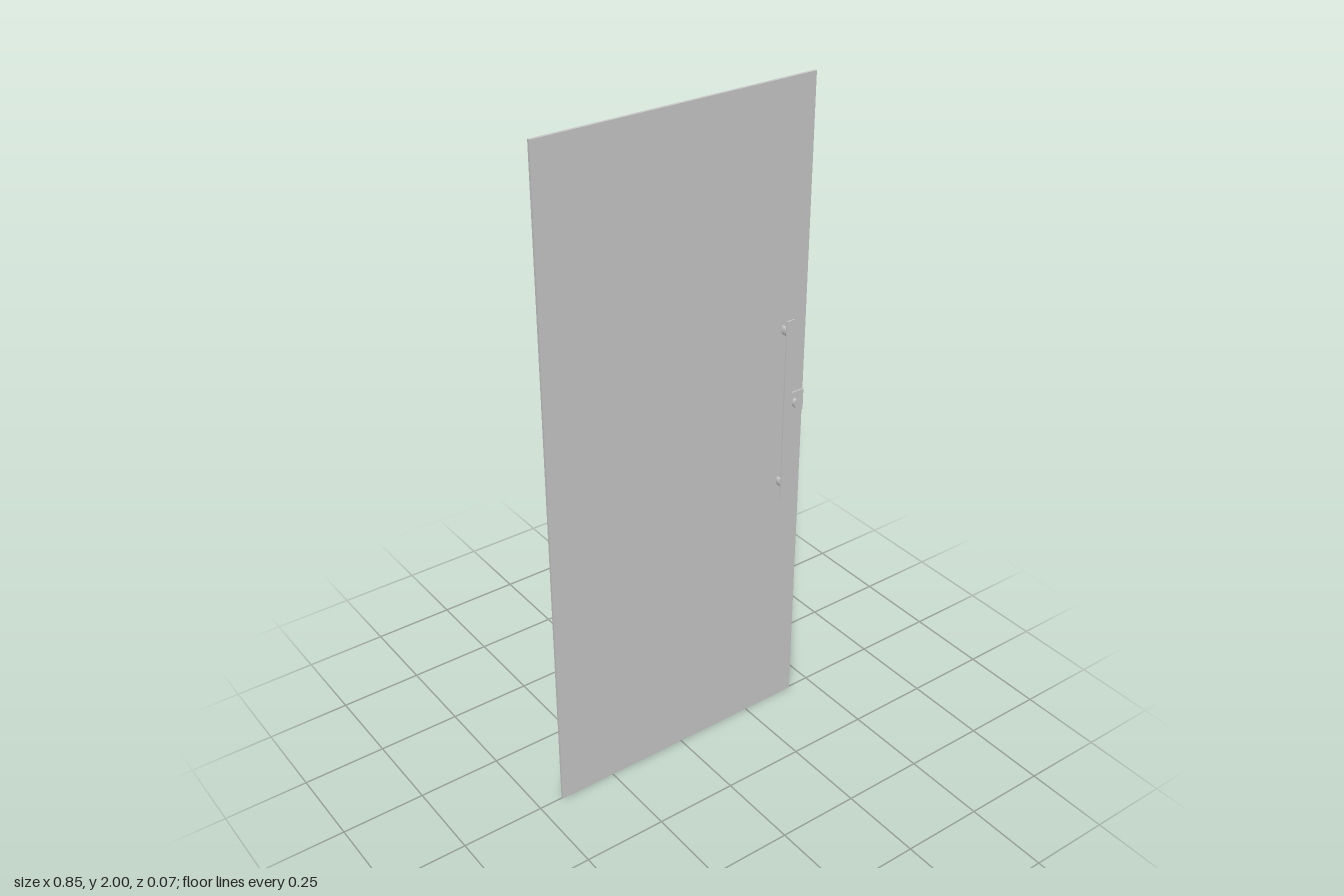
import * as THREE from 'three';

const material = new THREE.MeshStandardMaterial({ color: 0xcccccc });

function add(parent, name, geometry, x, y, z) {
  const mesh = new THREE.Mesh(geometry, material);
  mesh.name = name;
  mesh.position.set(x, y, z);
  parent.add(mesh);
  return mesh;
}

// Oval rod running along z
function ovalRod(width, height, length) {
  return new THREE.CylinderGeometry(0.5, 0.5, length, 32)
    .rotateX(Math.PI / 2)
    .scale(width, height, 1);
}

export function createModel() {
  const door = new THREE.Group();
  door.name = 'door';

  // Thin door leaf
  add(door, 'doorPanel', new THREE.BoxGeometry(0.852, 2, 0.008), 0, 1, 0);

  // Flat pull bars on both faces, joined by posts through the leaf
  const handle = new THREE.Group();
  handle.name = 'pullHandle';
  handle.position.set(0.346, 1.05, 0);
  door.add(handle);
  for (const side of [1, -1]) {
    add(handle, side > 0 ? 'frontBar' : 'backBar',
      new THREE.BoxGeometry(0.028, 0.566, 0.004), 0, 0, side * 0.035);
  }
  for (const end of [1, -1]) {
    add(handle, end > 0 ? 'upperPost' : 'lowerPost',
      ovalRod(0.01, 0.027, 0.068), 0, end * 0.243, 0);
  }

  // Lock case at the edge, with an oval cylinder through it
  const lock = new THREE.Group();
  lock.name = 'lock';
  lock.position.set(0.393, 1.052, 0);
  door.add(lock);
  add(lock, 'lockCase', new THREE.BoxGeometry(0.066, 0.066, 0.017), 0, 0, 0);
  add(lock, 'lockCylinder', ovalRod(0.014, 0.028, 0.037), 0, 0, 0);

  return door;
}
